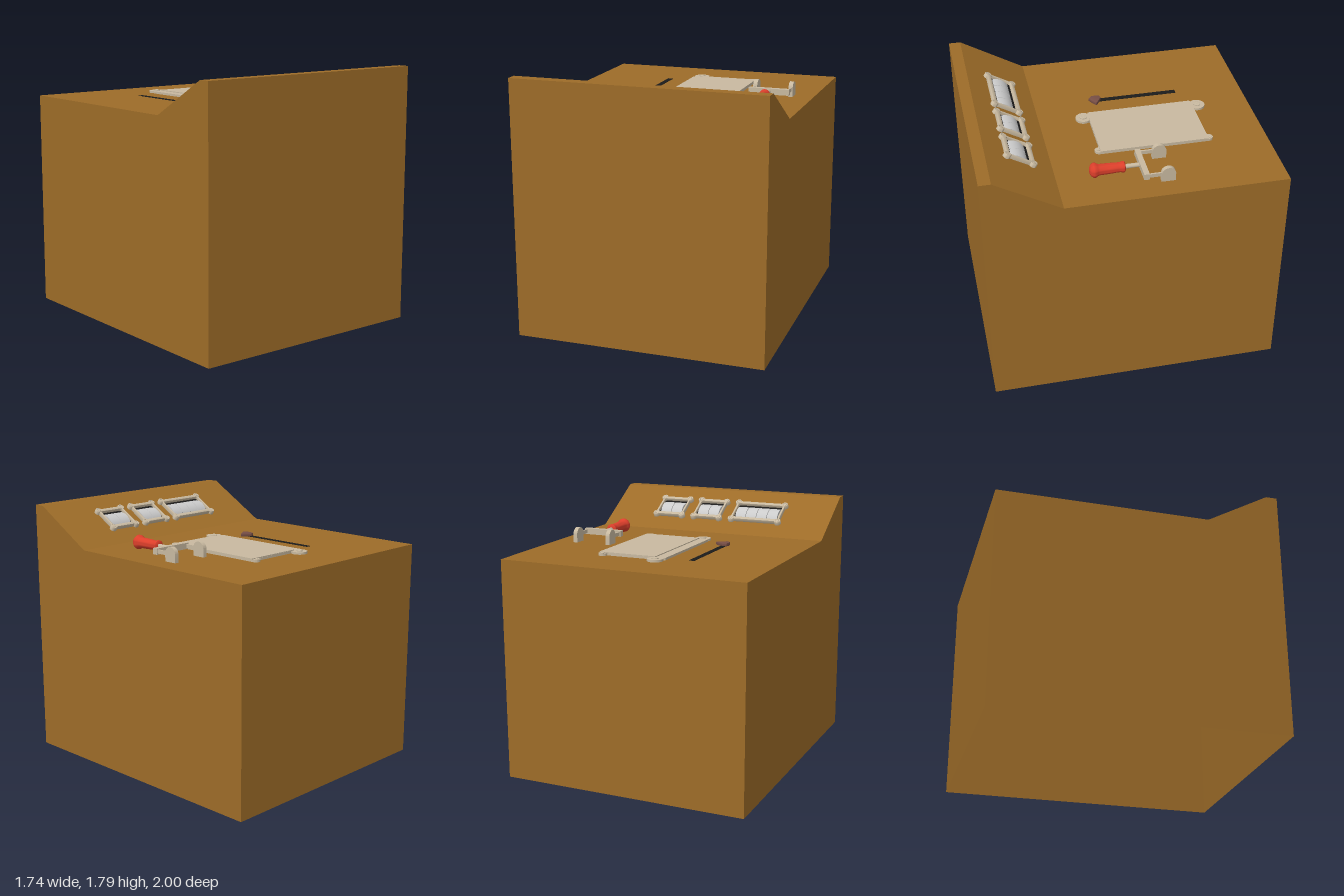
import * as THREE from 'three';
import { mergeGeometries, toCreasedNormals } from 'three/addons/utils/BufferGeometryUtils.js';

const mat = (color) => new THREE.MeshStandardMaterial({ color });
const wood = mat(0x9d6c28), bone = mat(0xc8b9a0), red = mat(0xdd3f2b);
const black = mat(0x1c1b1a), maroon = mat(0x784f46), grey = mat(0xcccccc);
wood.side = THREE.DoubleSide;
const DECK = 1.535, HALF_WIDTH = 0.868;

function add(parent, name, geometry, material, x = 0, y = 0, z = 0) {
  const mesh = new THREE.Mesh(geometry, material);
  mesh.name = name;
  mesh.position.set(x, y, z);
  parent.add(mesh);
  return mesh;
}

function part(parent, name, x = 0, y = 0, z = 0) {
  const group = new THREE.Group();
  group.name = name;
  group.position.set(x, y, z);
  parent.add(group);
  return group;
}

const vectors = (points) => points.map(([x, y]) => new THREE.Vector2(x, y));

// Extrudes a plan outline upwards; the outline's y becomes -z
function slab(shape, height, options = {}) {
  const g = new THREE.ExtrudeGeometry(shape, { depth: height, bevelEnabled: false, curveSegments: 12, ...options });
  g.rotateX(-Math.PI / 2);
  return toCreasedNormals(g, 0.6);
}

function roundedRect(target, hw, hh, r) {
  target.moveTo(hw, -hh + r);
  target.absarc(hw - r, hh - r, r, 0, Math.PI / 2);
  target.absarc(-hw + r, hh - r, r, Math.PI / 2, Math.PI);
  target.absarc(-hw + r, -hh + r, r, Math.PI, Math.PI * 1.5);
  target.absarc(hw - r, -hh + r, r, Math.PI * 1.5, Math.PI * 2);
  return target;
}

// Flat round boss with a recessed ring around its screw head
function screw(parent, r, height, x, z, y = 0) {
  const profile = [[0, 0], [r, 0], [r, height * 0.85], [r * 0.88, height], [r * 0.6, height],
    [r * 0.52, height * 0.8], [r * 0.45, height], [0, height * 1.03]];
  const g = new THREE.LatheGeometry(vectors(profile), 20);
  add(parent, 'screw', toCreasedNormals(g, 0.7), bone, x, y, z);
}

// Desk shell, open underneath: a panel per profile edge plus two side walls
function deskBody(parent) {
  const profile = vectors([[1, 0], [1, 1.79], [0.92, 1.79], [0.48, DECK], [-1, DECK], [-1, 0]]);
  const panels = [];
  for (let i = 0; i < profile.length - 1; i++) {
    const a = profile[i], b = profile[i + 1];
    const panel = new THREE.PlaneGeometry(HALF_WIDTH * 2, a.distanceTo(b));
    panel.rotateX(Math.atan2(b.x - a.x, b.y - a.y));
    panel.translate(0, (a.y + b.y) / 2, (a.x + b.x) / 2);
    panels.push(panel);
  }
  for (const s of [-1, 1]) {
    const wall = new THREE.ShapeGeometry(new THREE.Shape(profile.map((p) => new THREE.Vector2(-s * p.x, p.y))));
    wall.rotateY(s * Math.PI / 2);
    wall.translate(s * HALF_WIDTH, 0, 0);
    panels.push(wall);
  }
  add(parent, 'deskBody', mergeGeometries(panels), wood);
}

// Framed counter window with a row of number drums
function counter(parent, x0, x1, drums) {
  const hw = (x1 - x0) / 2;
  const g = part(parent, 'counterWindow', (x0 + x1) / 2, 0, 0);
  const frame = roundedRect(new THREE.Shape(), hw + 0.009, 0.104, 0.015);
  frame.holes.push(roundedRect(new THREE.Path(), hw - 0.007, 0.077, 0.012));
  const bevel = { bevelEnabled: true, bevelSize: 0.005, bevelThickness: 0.006, bevelOffset: -0.005, bevelSegments: 2 };
  add(g, 'windowFrame', slab(frame, 0.026, bevel), bone, 0, -0.004, 0);
  add(g, 'windowBacking', new THREE.BoxGeometry(hw * 2 - 0.004, 0.006, 0.17), black, 0, 0.003, 0);
  const pitch = (hw * 2 - 0.03) / drums;
  for (let i = 0; i < drums; i++) {
    const drum = new THREE.CylinderGeometry(0.1, 0.1, pitch - 0.004, 48);
    drum.rotateZ(Math.PI / 2);
    add(g, 'numberDrum', drum, grey, (i - (drums - 1) / 2) * pitch, -0.074, 0);
  }
  for (const sx of [-1, 1]) for (const sz of [-1, 1]) screw(g, 0.025, 0.029, sx * (hw + 0.002), sz * 0.095);
}

// Hinged plate with round lugs at its corners
function coverPlate(parent) {
  const g = part(parent, 'coverPlate', 0.002, DECK, -0.23);
  const half = new THREE.Path();
  half.moveTo(0.345, 0.375);
  half.absarc(0.315, 0.375, 0.03, 0, Math.PI);
  half.lineTo(0.278, 0.37);
  half.lineTo(-0.03, 0.37);
  half.absarc(-0.085, 0.403, 0.055, -0.68, Math.PI + 0.68);
  half.lineTo(-0.14, 0.362);
  const top = half.getPoints(14);
  const bottom = top.map((p) => new THREE.Vector2(p.x, -p.y)).reverse();
  add(g, 'platePanel', slab(new THREE.Shape([...top, ...bottom]), 0.016), bone);
  add(g, 'raisedPanel', new THREE.BoxGeometry(0.415, 0.01, 0.738), bone, 0.1375, 0.017, 0);
  for (const s of [-1, 1]) {
    screw(g, 0.024, 0.006, -0.085, s * 0.405, 0.016);
    screw(g, 0.014, 0.004, 0.315, s * 0.384, 0.016);
  }
}

// Fork lever: red grip, shaft, crossbar and two arms with round-topped lugs
function forkLever(parent) {
  const g = part(parent, 'forkLever', 0.583, 1.587, 0);
  const profile = [[0, 0.03], [0.03, 0.03], [0.037, 0.036], [0.037, 0.05], [0.033, 0.06], [0.033, 0.08],
    [0.036, 0.14], [0.037, 0.2], [0.041, 0.212], [0.049, 0.225], [0.049, 0.238], [0.038, 0.254], [0.02, 0.263], [0, 0.265]];
  const grip = new THREE.LatheGeometry(vectors(profile), 32);
  grip.rotateX(Math.PI / 2);
  add(g, 'grip', toCreasedNormals(grip, 0.8), red);
  const shaft = new THREE.CylinderGeometry(0.015, 0.015, 0.12, 20);
  shaft.rotateX(Math.PI / 2);
  add(g, 'shaft', shaft, bone, 0, 0, -0.02);
  add(g, 'crossbar', new THREE.BoxGeometry(0.288, 0.042, 0.036), bone, 0, 0, -0.083);
  const lug = new THREE.Shape();
  lug.moveTo(-0.047, -0.052);
  lug.lineTo(0.047, -0.052);
  lug.absarc(0, 0.002, 0.047, 0, Math.PI);
  for (const s of [-1, 1]) {
    add(g, 'forkArm', new THREE.BoxGeometry(0.012, 0.026, 0.1), bone, s * 0.13, 0, -0.145);
    const lugGeo = new THREE.ExtrudeGeometry(lug, { depth: 0.03, bevelEnabled: false, curveSegments: 20 });
    lugGeo.translate(0, 0, -0.015);
    lugGeo.rotateY(Math.PI / 2);
    add(g, 'forkLug', toCreasedNormals(lugGeo, 0.6), bone, s * 0.128, 0, -0.227);
  }
}

export function createModel() {
  const model = new THREE.Group();
  model.name = 'controlDesk';
  deskBody(model);

  // Counters lying on the sloped rim
  const slope = part(model, 'counterRow', 0.002, DECK + 0.218 * 0.58, 0.698);
  slope.rotation.x = -Math.atan2(0.255, 0.44);
  counter(slope, -0.489, -0.128, 4);
  counter(slope, -0.024, 0.177, 2);
  counter(slope, 0.279, 0.484, 2);

  coverPlate(model);
  forkLever(model);

  // Dark slot with its pointer knob
  add(model, 'slot', new THREE.BoxGeometry(0.038, 0.004, 0.56), black, -0.3, DECK, -0.253);
  const pointer = new THREE.Shape(vectors([[-0.304, -0.089], [-0.275, -0.073], [-0.24, -0.05], [-0.275, -0.027],
    [-0.304, -0.012], [-0.322, -0.018], [-0.329, -0.045], [-0.325, -0.072]]));
  const knob = slab(pointer, 0.014, { bevelEnabled: true, bevelSize: 0.004, bevelThickness: 0.005, bevelSegments: 2 });
  add(model, 'pointerKnob', knob, maroon, 0, DECK + 0.004, 0);

  return model;
}
